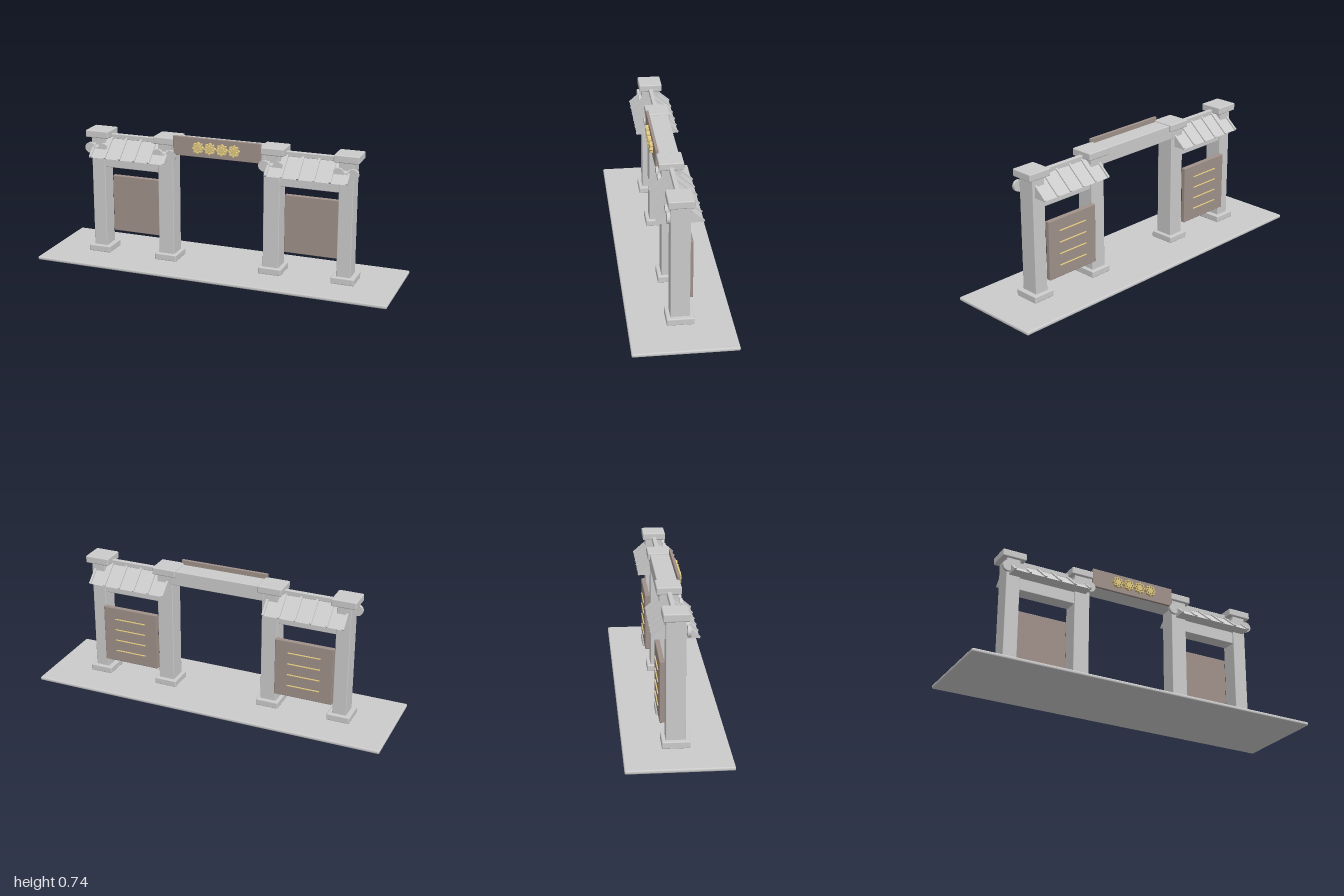
import * as THREE from 'three';
import { RoundedBoxGeometry } from 'three/addons/geometries/RoundedBoxGeometry.js';

const stone = new THREE.MeshStandardMaterial({ color: 0xcccccc });
const wood = new THREE.MeshStandardMaterial({ color: 0xa0918a });
const gold = new THREE.MeshStandardMaterial({ color: 0xe0c880 });

function add(parent, name, geometry, material, x = 0, y = 0, z = 0) {
  const mesh = new THREE.Mesh(geometry, material);
  mesh.name = name;
  mesh.position.set(x, y, z);
  parent.add(mesh);
  return mesh;
}

// Box given by its [min, max] range on each axis, with softened edges
function block(parent, name, [x0, x1], [y0, y1], [z0, z1], material = stone, r = 0.004) {
  const geo = new RoundedBoxGeometry(x1 - x0, y1 - y0, z1 - z0, 2, r);
  return add(parent, name, geo, material, (x0 + x1) / 2, (y0 + y1) / 2, (z0 + z1) / 2);
}

// Pillar with plinth, cap and scroll discs on its front
function pillar(x, width) {
  const g = new THREE.Group();
  g.name = 'pillar';
  const h = width / 2;
  block(g, 'plinth', [-0.064, 0.064], [0.018, 0.056], [-0.071, 0.071], stone, 0.006);
  block(g, 'shaft', [-h, h], [0.04, 0.7], [-0.05, 0.05]);
  block(g, 'cap', [-0.068, 0.068], [0.684, 0.725], [-0.065, 0.065], stone, 0.006);
  const disc = new THREE.CylinderGeometry(0.03, 0.03, 0.016, 24).rotateX(Math.PI / 2);
  for (const s of [-1, 1]) add(g, 'scrollDisc', disc, stone, s * 0.039, 0.627, 0.062);
  block(g, 'scrollBar', [-0.03, 0.03], [0.612, 0.636], [0.045, 0.068]);
  g.position.x = x;
  return g;
}

// Gabled roof with evenly spaced raised ribs on both slopes
function roof(x0, x1) {
  const g = new THREE.Group();
  g.name = 'roof';
  const eave = 0.116, low = 0.585, top = 0.686;
  const gable = new THREE.Shape([
    new THREE.Vector2(-eave, low), new THREE.Vector2(eave, low), new THREE.Vector2(0, top),
  ]);
  const body = new THREE.ExtrudeGeometry(gable, { depth: x1 - x0, bevelEnabled: false });
  body.rotateY(Math.PI / 2);
  add(g, 'roofBody', body, stone, x0);
  const slope = Math.hypot(eave, top - low);
  const angle = Math.atan2(top - low, eave);
  const rib = new THREE.BoxGeometry(0.012, 0.012, slope);
  const count = 6;
  for (let i = 0; i < count; i++) {
    const x = x0 + 0.006 + ((x1 - x0 - 0.012) * i) / (count - 1);
    for (const s of [-1, 1]) {
      const m = add(g, 'roofRib', rib, stone, x, (low + top) / 2 + 0.002, s * eave / 2);
      m.rotation.x = s * angle;
    }
  }
  block(g, 'roofRidge', [x0 + 0.03, x1 - 0.03], [0.675, 0.703], [-0.012, 0.012]);
  return g;
}

// Side bay on the +x side: two pillars, beam, roof and notice panel
function bay() {
  const g = new THREE.Group();
  g.name = 'sideBay';
  g.add(pillar(0.305, 0.09), pillar(0.711, 0.078), roof(0.285, 0.735));
  block(g, 'sideBeam', [0.34, 0.68], [0.516, 0.61], [-0.04, 0.04]);
  block(g, 'noticePanel', [0.348, 0.674], [0.115, 0.443], [-0.075, -0.049], wood);
  for (let i = 0; i < 4; i++) {
    const y = 0.181 + i * 0.0647;
    block(g, 'panelStrip', [0.42, 0.604], [y - 0.003, y + 0.003], [-0.081, -0.073], gold, 0.002);
  }
  return g;
}

// Scalloped rosette with a pierced ring, used as relief on the sign
function rosetteGeometry() {
  const pts = [];
  for (let i = 0; i < 48; i++) {
    const a = (i / 48) * Math.PI * 2;
    const r = 0.029 + 0.004 * Math.cos(8 * a);
    pts.push(new THREE.Vector2(r * Math.cos(a), r * Math.sin(a)));
  }
  const shape = new THREE.Shape(pts);
  for (let i = 0; i < 8; i++) {
    const a = (i / 8) * Math.PI * 2;
    const hole = new THREE.Path();
    hole.absarc(0.02 * Math.cos(a), 0.02 * Math.sin(a), 0.005, 0, Math.PI * 2, true);
    shape.holes.push(hole);
  }
  return new THREE.ExtrudeGeometry(shape, { depth: 0.018, bevelEnabled: false, curveSegments: 6 });
}

export function createModel() {
  const model = new THREE.Group();
  model.name = 'memorialGateway';

  block(model, 'groundSlab', [-1, 1], [0, 0.02], [-0.268, 0.268], stone, 0.008);

  // Side bays mirrored left and right (rebuilt from mirrored positions)
  const left = bay();
  const right = bay();
  right.scale.x = -1;
  model.add(left, right);

  // Middle span and its sign board
  block(model, 'mainLintel', [-0.27, 0.27], [0.637, 0.718], [-0.053, 0.053]);
  block(model, 'signBoard', [-0.25, 0.25], [0.637, 0.744], [0.053, 0.069], wood, 0.003);
  const rosette = rosetteGeometry();
  for (let i = 0; i < 4; i++) add(model, 'signRosette', rosette, gold, (i - 1.5) * 0.068, 0.691, 0.067);

  return model;
}
